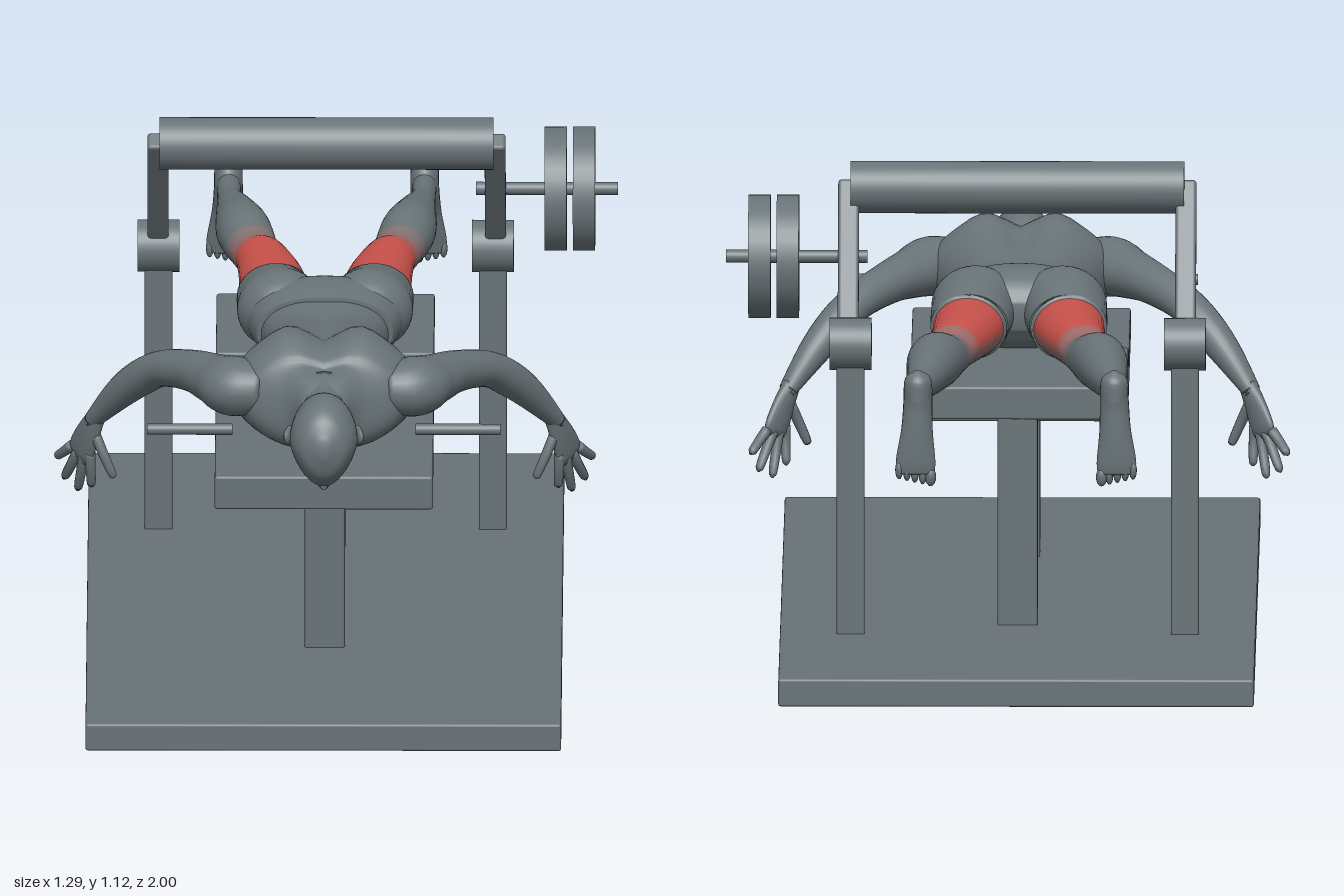
import * as THREE from 'three';
import { RoundedBoxGeometry } from 'three/addons/geometries/RoundedBoxGeometry.js';

const CX = -0.025; // body midline
const mat = (name, color) => Object.assign(new THREE.MeshStandardMaterial({ color }), { name });

// Smooth skin over elliptical sections [x, y, z, halfWidth, halfHeight]; ref points to the height side
function loft(pts, { ref = [0, 1, 0], sides = 24, sub = 6, power = 1, rule, paint } = {}) {
  const path = new THREE.CatmullRomCurve3(pts.map(p => new THREE.Vector3(p[0], p[1], p[2])), false, 'catmullrom');
  const size = new THREE.CatmullRomCurve3(pts.map(p => new THREE.Vector3(p[3], p[4], 0)), false, 'catmullrom');
  const n = (pts.length - 1) * sub, pos = [], lists = [[], [], [], []];
  const r = new THREE.Vector3(...ref);
  const soft = v => Math.sign(v) * Math.abs(v) ** power;
  for (let i = 0; i <= n; i++) {
    const c = path.getPoint(i / n), t = path.getTangent(i / n), s = size.getPoint(i / n);
    const side = r.clone().cross(t).normalize(), up = t.clone().cross(side);
    for (let j = 0; j < sides; j++) {
      const a = j / sides * Math.PI * 2;
      const p = c.clone().addScaledVector(side, soft(Math.cos(a)) * Math.max(s.x, 0.001))
        .addScaledVector(up, soft(Math.sin(a)) * Math.max(s.y, 0.001));
      if (rule) rule(p);
      pos.push(p.x, p.y, p.z);
      if (i < n) {
        const k = (j + 1) % sides, A = i * sides + j, B = i * sides + k;
        const m = paint ? paint(c.z, Math.sin(a + Math.PI / sides)) : 0;
        lists[m].push(A, B, A + sides, B, B + sides, A + sides);
      }
    }
  }
  const first = pos.length / 3;
  pos.push(...pts[0].slice(0, 3), ...pts[pts.length - 1].slice(0, 3));
  for (let j = 0; j < sides; j++) {
    const k = (j + 1) % sides;
    lists[0].push(first, k, j, first + 1, n * sides + j, n * sides + k);
  }
  const g = new THREE.BufferGeometry();
  g.setAttribute('position', new THREE.Float32BufferAttribute(pos, 3));
  g.setIndex(lists.flat());
  let start = 0;
  if (paint) lists.forEach((l, m) => { g.addGroup(start, l.length, m); start += l.length; });
  g.computeVertexNormals();
  return g;
}

export function createModel() {
  const root = new THREE.Group();
  const grey = mat('slate grey', 0x687377), red = mat('muscle red', 0xc9524b);
  const pink = mat('muscle pink', 0x9e6a68), faded = mat('faded pink', 0x807072);

  const machine = new THREE.Group(), body = new THREE.Group();
  machine.name = 'machine';
  body.name = 'body';
  root.add(machine, body);
  const add = (group, name, geo, m = grey) => {
    const mesh = new THREE.Mesh(geo, m);
    mesh.name = name;
    group.add(mesh);
    return mesh;
  };
  const box = (name, x0, x1, y0, y1, z0, z1) =>
    add(machine, name, new RoundedBoxGeometry(x1 - x0, y1 - y0, z1 - z0, 2, 0.006))
      .position.set((x0 + x1) / 2, (y0 + y1) / 2, (z0 + z1) / 2);
  const rod = (name, x0, x1, y, z, r) => {
    const m = add(machine, name, new THREE.CylinderGeometry(r, r, x1 - x0, 40));
    m.rotation.z = Math.PI / 2;
    m.position.set((x0 + x1) / 2, y, z);
  };

  // Frame and pads
  box('basePlate', -0.57, 0.52, 0, 0.065, -0.98, 1);
  box('frontPad', -0.275, 0.225, 0.49, 0.57, -0.15, 0.72);
  box('rearPad', -0.275, 0.225, 0.555, 0.632, -0.43, 0.005);
  box('frontPost', -0.07, 0.022, 0.06, 0.5, 0.35, 0.44);
  box('rearPost', -0.07, 0.022, 0.06, 0.56, -0.39, -0.295);
  for (const [x, post] of [[-0.408, 'rightUpright'], [0.358, 'leftUpright']]) {
    box(post, x - 0.032, x + 0.032, 0.06, 0.74, -0.49, -0.42);
    rod('pivotHub', x - 0.048, x + 0.048, 0.738, -0.455, 0.06);
  }

  // Swinging arms, roller, weights and handles
  for (const x of [-0.409, 0.364]) {
    const arm = add(machine, 'swingArm', new RoundedBoxGeometry(0.048, 0.42, 0.045, 2, 0.008));
    arm.position.set(x, 0.895, -0.348);
    arm.rotation.x = Math.atan2(0.22, 0.32);
  }
  rod('roller', -0.405, 0.36, 1.058, -0.235, 0.06);
  rod('weightBar', 0.32, 0.645, 0.917, -0.335, 0.015);
  rod('innerWeight', 0.477, 0.528, 0.917, -0.335, 0.142);
  rod('outerWeight', 0.542, 0.593, 0.917, -0.335, 0.142);
  rod('rightHandle', -0.43, -0.235, 0.655, 0.63, 0.013);
  rod('leftHandle', 0.185, 0.38, 0.655, 0.63, 0.013);

  // Torso with a spine groove and shoulder blades
  const back = p => {
    if (p.y < 0.72) return;
    const u = Math.abs(p.x - CX), fade = Math.exp(-(((p.z - 0.42) / 0.2) ** 2));
    p.y -= 0.03 * fade * Math.exp(-((u / 0.035) ** 2));
    p.y += 0.018 * Math.exp(-(((u - 0.09) / 0.045) ** 2) - (((p.z - 0.46) / 0.08) ** 2));
  };
  add(body, 'torso', loft([
    [CX, 0.705, 0.67, 0.05, 0.05], [CX, 0.7, 0.62, 0.085, 0.085], [CX, 0.692, 0.56, 0.175, 0.11],
    [CX, 0.702, 0.48, 0.21, 0.132], [CX, 0.698, 0.4, 0.19, 0.125], [CX, 0.698, 0.3, 0.152, 0.112],
    [CX, 0.705, 0.2, 0.133, 0.09], [CX, 0.71, 0.1, 0.148, 0.088], [CX, 0.722, 0.02, 0.165, 0.085],
  ], { sides: 48, power: 0.88, rule: back }));
  add(body, 'shorts', loft([
    [CX, 0.711, 0.112, 0.155, 0.092], [CX, 0.717, 0.06, 0.172, 0.097], [CX, 0.723, 0, 0.182, 0.093],
    [CX, 0.722, -0.05, 0.15, 0.07], [CX, 0.72, -0.08, 0.06, 0.03],
  ], { sides: 40, power: 0.88 }));

  // Head, face down, with the jaw narrower than the skull
  const jaw = p => {
    const k = THREE.MathUtils.clamp((0.69 - p.y) / 0.12, 0, 1);
    p.x = CX + (p.x - CX) * (1 - 0.28 * k);
  };
  add(body, 'neck', loft([
    [CX, 0.7, 0.58, 0.075, 0.08], [CX, 0.695, 0.66, 0.056, 0.065], [CX, 0.69, 0.76, 0.056, 0.07],
  ]));
  add(body, 'head', loft([
    [CX, 0.585, 0.665, 0.02, 0.012], [CX, 0.61, 0.68, 0.05, 0.043], [CX, 0.655, 0.715, 0.066, 0.087],
    [CX, 0.68, 0.77, 0.076, 0.105], [CX, 0.686, 0.83, 0.077, 0.1], [CX, 0.69, 0.875, 0.056, 0.07],
    [CX, 0.692, 0.897, 0.015, 0.02],
  ], { sides: 32, rule: jaw }));
  add(body, 'nose', loft([
    [CX, 0.58, 0.81, 0.008, 0.012], [CX, 0.572, 0.775, 0.013, 0.014], [CX, 0.572, 0.75, 0.016, 0.018],
    [CX, 0.578, 0.74, 0.006, 0.006],
  ], { sides: 12 }));

  for (const s of [-1, 1]) {
    const own = s > 0 ? 'left' : 'right';
    const X = pts => pts.map(([u, ...rest]) => [CX + s * u, ...rest]);

    const ear = add(body, own + 'Ear', new THREE.SphereGeometry(1, 16, 12));
    ear.scale.set(0.01, 0.022, 0.03);
    ear.position.set(CX + s * 0.079, 0.685, 0.762);
    ear.rotation.y = s * 0.3;

    // Arm
    add(body, own + 'Arm', loft(X([
      [0.13, 0.72, 0.53, 0.05, 0.05], [0.2, 0.715, 0.5, 0.078, 0.068], [0.245, 0.712, 0.44, 0.066, 0.058],
      [0.3, 0.706, 0.36, 0.052, 0.048], [0.37, 0.682, 0.27, 0.045, 0.042], [0.42, 0.642, 0.215, 0.044, 0.042],
      [0.47, 0.588, 0.168, 0.037, 0.036], [0.525, 0.515, 0.12, 0.024, 0.022], [0.53, 0.505, 0.115, 0.022, 0.02],
    ])));

    // Hand with spread fingers
    const ref = [s * 0.75, 0.1, 0.6];
    add(body, own + 'Palm', loft(X([
      [0.522, 0.52, 0.122, 0.022, 0.02], [0.54, 0.475, 0.105, 0.034, 0.018],
      [0.557, 0.425, 0.082, 0.042, 0.015], [0.563, 0.405, 0.075, 0.034, 0.008],
    ]), { ref }));
    const fingers = [
      [0.538, 0.425, 0.106, 0.535, 0.345, 0.092], [0.551, 0.418, 0.089, 0.565, 0.325, 0.055],
      [0.565, 0.418, 0.071, 0.595, 0.343, 0.03], [0.579, 0.425, 0.054, 0.612, 0.385, 0.008],
      [0.527, 0.475, 0.12, 0.487, 0.382, 0.135],
    ];
    fingers.forEach(([a, b, c, d, e, f], i) => add(body, own + (i < 4 ? 'Finger' : 'Thumb'), loft(X([
      [a, b, c, 0.013, 0.013], [(a + d) / 2, (b + e) / 2, (c + f) / 2 + 0.004, 0.012, 0.012],
      [d, e, f, 0.01, 0.01], [d + (d - a) * 0.08, e + (e - b) * 0.08, f, 0.003, 0.003],
    ]), { ref, sides: 10, sub: 3 })));

    // Leg with the highlighted rear thigh muscle
    const paint = (z, up) => {
      if (z > -0.155 || z < -0.5) return 0;
      if (z < -0.46) return up > -0.2 ? 3 : 0;
      if (z < -0.41) return up > -0.1 ? 2 : 3;
      return up > 0 ? 1 : up > -0.5 ? 2 : 3;
    };
    add(body, own + 'Leg', loft(X([
      [0.105, 0.715, 0, 0.08, 0.078], [0.113, 0.713, -0.15, 0.083, 0.072], [0.125, 0.72, -0.28, 0.074, 0.061],
      [0.145, 0.722, -0.4, 0.061, 0.054], [0.162, 0.716, -0.47, 0.057, 0.049], [0.188, 0.727, -0.59, 0.063, 0.065],
      [0.205, 0.724, -0.72, 0.048, 0.05], [0.22, 0.72, -0.84, 0.03, 0.034], [0.225, 0.722, -0.95, 0.028, 0.035],
    ]), { sub: 12, sides: 28, paint }), [grey, red, pink, faded]);
    add(body, own + 'ShortsLeg', loft(X([
      [0.088, 0.722, 0.05, 0.068, 0.07], [0.098, 0.731, 0, 0.1, 0.092], [0.106, 0.726, -0.06, 0.096, 0.09],
      [0.113, 0.716, -0.15, 0.09, 0.078], [0.113, 0.715, -0.158, 0.088, 0.076],
    ]), { sides: 32 }));

    // Foot, toes down
    add(body, own + 'Foot', loft(X([
      [0.225, 0.785, -0.968, 0.008, 0.008], [0.225, 0.765, -0.965, 0.03, 0.033], [0.225, 0.715, -0.955, 0.033, 0.044],
      [0.227, 0.65, -0.972, 0.036, 0.028], [0.23, 0.58, -0.981, 0.045, 0.018], [0.23, 0.548, -0.983, 0.043, 0.012],
    ]), { ref: [0, 0, 1] }));
    for (let i = 0; i < 5; i++) {
      const toe = add(body, own + 'Toe', new THREE.SphereGeometry(1, 12, 8));
      toe.scale.set(i ? 0.009 : 0.013, 0.022, 0.012);
      toe.position.set(CX + s * (0.196 + i * 0.018), 0.541 + i * 0.004, -0.983);
    }
  }
  return root;
}
